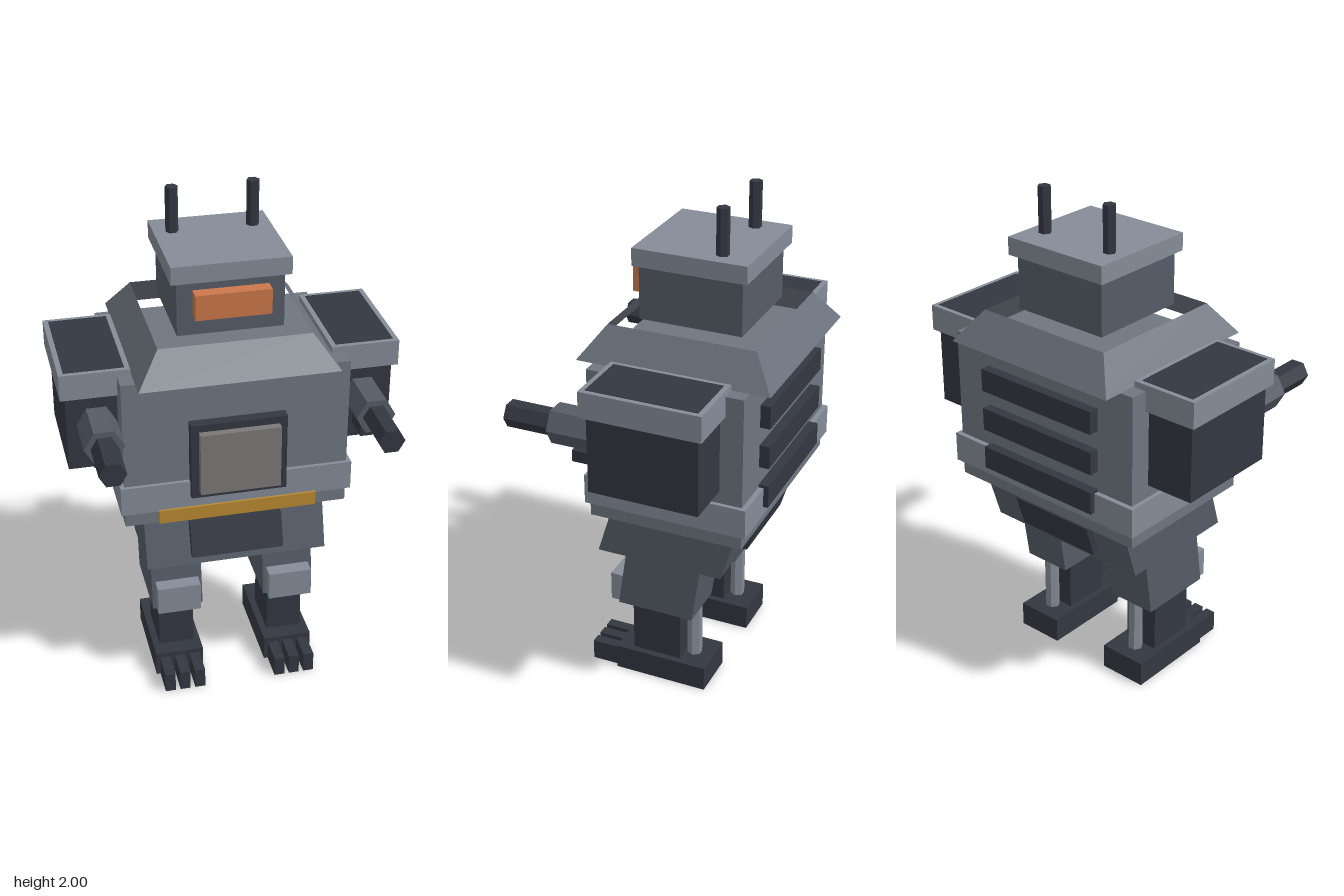
import * as THREE from 'three';

const mat = (color) => new THREE.MeshStandardMaterial({ color, flatShading: true });
const light = mat(0x858c98);
const mid = mat(0x6f7681);
const steel = mat(0x555c67);
const dark = mat(0x333741);
const orange = mat(0xcc774a);
const ochre = mat(0xb88932);
const glass = mat(0x7a7977);
const collarMat = mat(0x6a717c);
collarMat.side = THREE.DoubleSide;

export function createModel() {
  const model = new THREE.Group();
  model.name = 'robot';

  const add = (parent, name, geometry, material) => {
    const mesh = new THREE.Mesh(geometry, material);
    mesh.name = name;
    parent.add(mesh);
    return mesh;
  };

  // Box from its limits; lean slides z by lean * (height above the base)
  const box = (parent, name, material, [x0, x1], [y0, y1], [z0, z1], lean = 0) => {
    const g = new THREE.BoxGeometry(x1 - x0, y1 - y0, z1 - z0);
    g.translate((x0 + x1) / 2, (y0 + y1) / 2, (z0 + z1) / 2);
    const p = g.attributes.position;
    for (let i = 0; i < p.count; i++) p.setZ(i, p.getZ(i) + lean * (p.getY(i) - y0));
    g.computeVertexNormals();
    return add(parent, name, g, material);
  };

  // Six-sided rod with its corners on the x axis, upright or pointing forward
  const rod = (parent, name, material, r, length, [x, y, z], forward = false) => {
    const g = new THREE.CylinderGeometry(r, r, length, 6);
    g.rotateY(Math.PI / 2);
    if (forward) g.rotateX(Math.PI / 2);
    g.translate(x, y, z);
    return add(parent, name, g, material);
  };

  // Head
  const head = new THREE.Group();
  head.name = 'head';
  model.add(head);
  box(head, 'skull', steel, [-0.205, 0.205], [1.535, 1.75], [-0.31, 0.1]);
  box(head, 'headCap', light, [-0.228, 0.228], [1.75, 1.82], [-0.335, 0.118]);
  box(head, 'visor', orange, [-0.145, 0.145], [1.615, 1.715], [0.09, 0.153]);
  for (const s of [-1, 1]) rod(head, 'antenna', dark, 0.025, 0.18, [s * 0.157, 1.91, -0.212]);

  // Open sloping collar under the head
  const collar = new THREE.CylinderGeometry(0.295 * Math.SQRT2, 0.385 * Math.SQRT2, 0.125, 4, 1, true);
  collar.rotateY(Math.PI / 4);
  collar.translate(0, 1.4725, -0.108);
  add(model, 'collar', collar, collarMat);

  // Torso
  const torso = new THREE.Group();
  torso.name = 'torso';
  model.add(torso);
  box(torso, 'chest', mid, [-0.44, 0.44], [0.79, 1.41], [-0.415, 0.207]);
  box(torso, 'waistBand', light, [-0.457, 0.457], [0.85, 0.97], [-0.435, 0.222]);
  box(torso, 'beltStripe', ochre, [-0.312, 0.312], [0.8, 0.857], [0.19, 0.232]);
  box(torso, 'screenFrame', dark, [-0.187, 0.187], [0.91, 1.23], [0.19, 0.25]);
  box(torso, 'screen', glass, [-0.157, 0.157], [0.94, 1.2], [0.2, 0.28]);
  for (const y of [0.935, 1.102, 1.268]) {
    box(torso, 'backVent', dark, [-0.275, 0.275], [y - 0.046, y + 0.046], [-0.455, -0.4]);
  }

  // Leaning pelvis with front and back panels
  const lean = -0.31;
  const pelvis = new THREE.Group();
  pelvis.name = 'pelvis';
  model.add(pelvis);
  box(pelvis, 'hips', steel, [-0.362, 0.362], [0.58, 0.79], [-0.3, 0.22], lean);
  box(pelvis, 'frontPanel', dark, [-0.185, 0.185], [0.62, 0.755], [0.19, 0.236], lean);
  box(pelvis, 'backPanel', dark, [-0.185, 0.185], [0.62, 0.755], [-0.34, -0.29], lean);

  for (const s of [-1, 1]) {
    const side = s > 0 ? 'left' : 'right';
    // x limits centred on cx, on this side of the body
    const span = (cx, half) => [s * cx - half, s * cx + half];

    // Arm: block, shoulder pad and gun
    const arm = new THREE.Group();
    arm.name = side + 'Arm';
    model.add(arm);
    box(arm, 'armBlock', dark, span(0.522, 0.114), [1.02, 1.436], [-0.325, 0.11]);
    box(arm, 'shoulderPad', light, span(0.522, 0.134), [1.33, 1.434], [-0.345, 0.13]);
    rod(arm, 'gunSleeve', steel, 0.077, 0.25, [s * 0.52, 1.21, 0.173], true);
    rod(arm, 'gunBarrel', dark, 0.052, 0.24, [s * 0.52, 1.21, 0.37], true);
    box(arm, 'lowerBarrel', dark, span(0.52, 0.031), [1.08, 1.127], [0.08, 0.218]);

    // Leg: leaning thigh, knee, shin and rear piston
    const leg = new THREE.Group();
    leg.name = side + 'Leg';
    model.add(leg);
    box(leg, 'thigh', steel, span(0.231, 0.103), [0.33, 0.58], [-0.168, 0.15], -0.15);
    box(leg, 'kneePad', light, span(0.231, 0.088), [0.33, 0.45], [0.08, 0.19]);
    box(leg, 'shin', dark, span(0.231, 0.072), [0.1, 0.335], [-0.105, 0.1]);
    rod(leg, 'piston', light, 0.03, 0.27, [s * 0.231, 0.235, -0.14]);

    // Foot with three toes
    box(leg, 'foot', dark, span(0.231, 0.099), [0, 0.104], [-0.222, 0.167]);
    for (const t of [-1, 0, 1]) {
      box(leg, 'toe', dark, span(0.231 + t * 0.062, 0.021), [0, 0.085], [0.15, 0.283]);
    }
  }

  return model;
}
